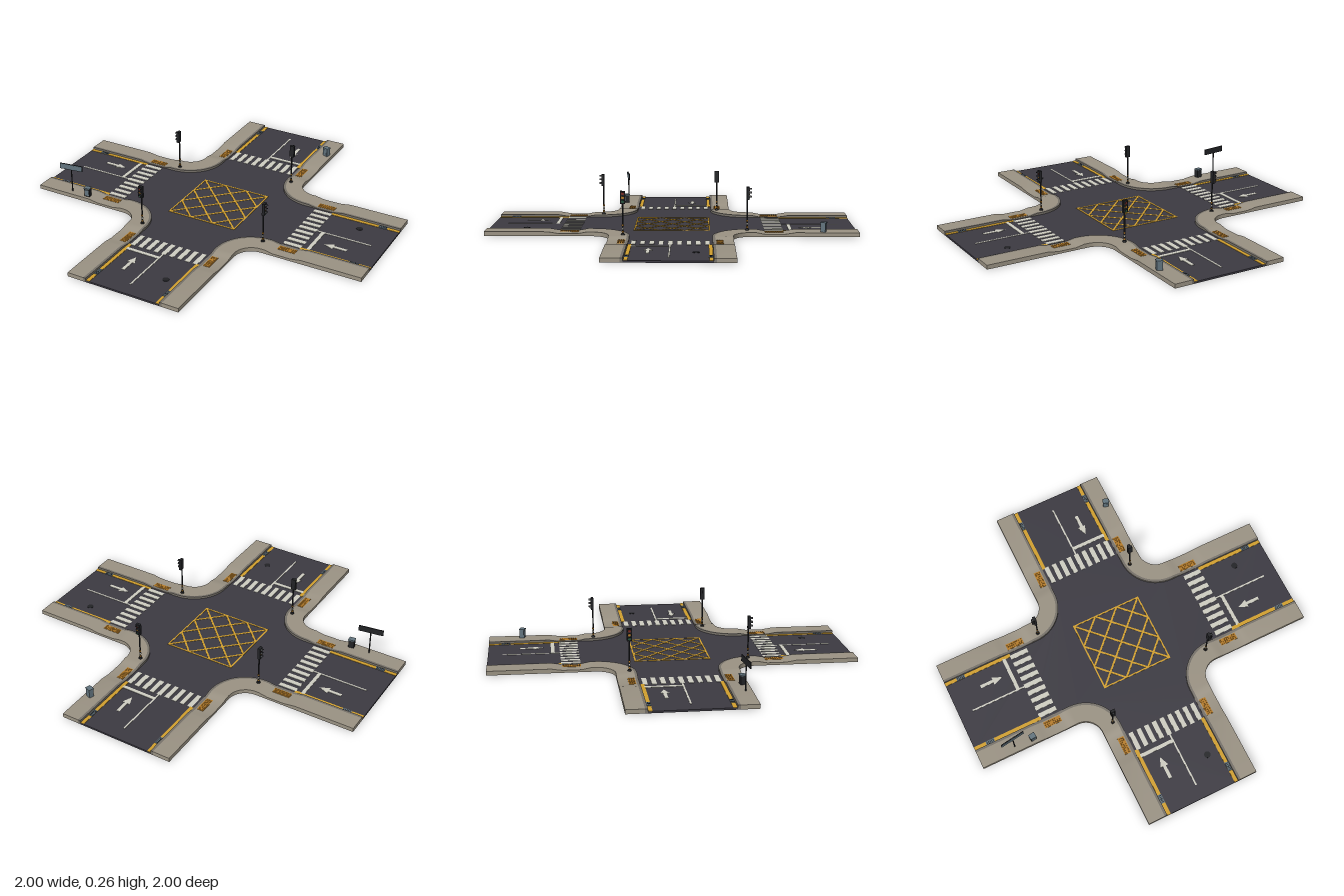
import * as THREE from 'three';
import { toCreasedNormals } from 'three/addons/utils/BufferGeometryUtils.js';

const mat = (name, color, extra = {}) => {
  const m = new THREE.MeshStandardMaterial({ color, ...extra });
  m.name = name;
  return m;
};

const ROAD_Y = 0.01, EDGE = 0.217, KERB = 0.231, OUTER = 0.327, BEND = 0.43;

export function createModel() {
  const asphalt = mat('asphalt', 0x3c3a42);
  const paving = mat('paving', 0x9b9384);
  const kerbStone = mat('kerbStone', 0x77726a);
  const white = mat('whitePaint', 0xcfcec2);
  const yellow = mat('yellowPaint', 0xd2a02e);
  const tactile = mat('tactileOrange', 0xb67c28);
  const black = mat('blackMetal', 0x222326, { side: THREE.DoubleSide });
  const slate = mat('slateMetal', 0x62747e);
  const red = mat('redLamp', 0x7a2a22);
  const green = mat('greenLamp', 0x24523c);

  const model = new THREE.Group();
  model.name = 'crossroads';

  const add = (parent, name, geo, material, x = 0, y = 0, z = 0) => {
    const m = new THREE.Mesh(geo, material);
    m.name = name;
    m.position.set(x, y, z);
    parent.add(m);
    return m;
  };
  const box = (parent, name, material, w, h, d, x, y, z) =>
    add(parent, name, new THREE.BoxGeometry(w, h, d), material, x, y, z);
  // thin painted plate lying on the road
  const paint = (parent, name, material, w, d, x, z, lift = 0.002) =>
    box(parent, name, material, w, lift, d, x, ROAD_Y + lift / 2, z);
  const group = (parent, name, x = 0, y = 0, z = 0, turn = 0) => {
    const g = new THREE.Group();
    g.name = name;
    g.position.set(x, y, z);
    g.rotation.y = turn;
    parent.add(g);
    return g;
  };

  // line at a constant offset from the road centre, round one corner
  const stations = [1, 0.66, 0.63, 0.6, 0.5, 0.475, 0.45];
  const cornerPath = (d) => {
    const pts = stations.map((s) => [d, s]);
    const r = BEND - d;
    for (let i = 0; i <= 14; i++) {
      const a = Math.PI + (i / 14) * Math.PI / 2;
      pts.push([BEND + r * Math.cos(a), BEND - r * Math.sin(a - Math.PI / 2 + Math.PI / 2) * -1]);
    }
    // the arc runs from (d, BEND) to (BEND, d)
    return pts.concat([...stations].reverse().map((s) => [s, d]));
  };
  // pavement height, dropped at the crossings
  const heights = { 1: 0.023, 0.66: 0.023, 0.63: 0.018, 0.6: 0.0135, 0.5: 0.0135, 0.475: 0.018, 0.45: 0.023 };
  const heightAt = (x, z) => heights[Math.max(x, z)] ?? 0.023;

  // rectangular strip swept round a corner
  const strip = (d0, d1) => {
    const a = cornerPath(d0), b = cornerPath(d1), pos = [];
    const rings = a.map(([x, z], i) => {
      const [u, w] = b[i];
      const h = heightAt(x, z);
      return [[x, 0, z], [x, h, z], [u, h, w], [u, 0, w]];
    });
    const quad = (p, q, r, s) => pos.push(...p, ...q, ...r, ...p, ...r, ...s);
    for (let i = 0; i < rings.length - 1; i++) {
      const p = rings[i], q = rings[i + 1];
      for (let k = 0; k < 4; k++) {
        const n = (k + 1) % 4;
        quad(p[k], p[n], q[n], q[k]);
      }
    }
    const first = rings[0], last = rings[rings.length - 1];
    quad(first[0], first[3], first[2], first[1]);
    quad(...last);
    const geo = new THREE.BufferGeometry();
    geo.setAttribute('position', new THREE.Float32BufferAttribute(pos, 3));
    geo.computeVertexNormals();
    return toCreasedNormals(geo, 0.4);
  };

  // road slab
  const outline = [];
  let quarter = cornerPath(EDGE);
  for (let i = 0; i < 4; i++) {
    outline.push(...quarter.map(([x, z]) => new THREE.Vector2(x, z)));
    quarter = quarter.map(([x, z]) => [z, -x]);
  }
  const slab = new THREE.ExtrudeGeometry(new THREE.Shape(outline), { depth: ROAD_Y, bevelEnabled: false });
  add(model, 'road', slab.rotateX(-Math.PI / 2), asphalt);

  // yellow box junction
  const junction = group(model, 'boxJunction');
  const B = 0.203;
  for (const s of [-1, 1]) {
    paint(junction, 'boxEdge', yellow, 2 * B + 0.008, 0.008, 0, s * B);
    paint(junction, 'boxEdge', yellow, 0.008, 2 * B + 0.008, s * B, 0);
    for (let k = -2; k <= 2; k++) {
      const c = k * B / 3;
      const len = (2 * B - Math.abs(2 * c)) * Math.SQRT2;
      const line = paint(junction, 'boxHatch', yellow, len, 0.01, c, -s * c, 0.0018);
      line.rotation.y = -s * Math.PI / 4;
    }
  }

  // lane arrow
  const arrowShape = new THREE.Shape([[-0.009, -0.065], [0.009, -0.065], [0.009, 0.01], [0.023, 0.01],
    [0, 0.065], [-0.023, 0.01], [-0.009, 0.01]].map(([x, y]) => new THREE.Vector2(x, y)));
  const arrowGeo = new THREE.ExtrudeGeometry(arrowShape, { depth: 0.002, bevelEnabled: false }).rotateX(-Math.PI / 2);
  const kerbGeo = strip(EDGE, KERB), paveGeo = strip(KERB, OUTER);
  const bumpGeo = new THREE.CylinderGeometry(0.0025, 0.0035, 0.002, 8);

  // traffic light facing +z
  const trafficLight = (parent, x, z) => {
    const g = group(parent, 'trafficLight', x, 0.022, z);
    add(g, 'poleFoot', new THREE.CylinderGeometry(0.009, 0.011, 0.008, 12), black, 0, 0.004, 0);
    add(g, 'pole', new THREE.CylinderGeometry(0.004, 0.004, 0.22, 12), black, 0, 0.11, 0);
    for (let i = 0; i < 3; i++)
      add(g, 'poleBand', new THREE.CylinderGeometry(0.0055, 0.0055, 0.008, 12), i % 2 ? white : tactile, 0, 0.018 + i * 0.017, 0);
    box(g, 'lampHousing', black, 0.026, 0.068, 0.015, 0, 0.2, 0.004);
    [green, tactile, red].forEach((m, i) => {
      const y = 0.179 + i * 0.021;
      add(g, 'lamp', new THREE.CylinderGeometry(0.008, 0.008, 0.002, 16).rotateX(Math.PI / 2), m, 0, y, 0.0122);
      add(g, 'lampVisor', new THREE.CylinderGeometry(0.009, 0.009, 0.012, 14, 1, true, Math.PI / 2, Math.PI)
        .rotateX(Math.PI / 2), black, 0, y, 0.017);
    });
  };

  // four matching arms and corners
  for (let i = 0; i < 4; i++) {
    const arm = group(model, 'arm', 0, 0, 0, i * Math.PI / 2);
    add(arm, 'kerb', kerbGeo, kerbStone);
    add(arm, 'pavement', paveGeo, paving);
    paint(arm, 'centreLine', white, 0.009, 0.32, 0, 0.76);
    paint(arm, 'stopLine', white, 0.2, 0.02, -0.1, 0.643);
    add(arm, 'laneArrow', arrowGeo, white, -0.107, ROAD_Y, 0.76);
    for (let k = -4; k <= 4; k++) paint(arm, 'crossingStripe', white, 0.026, 0.105, k * 0.0475, 0.552);
    for (const s of [-1, 1]) {
      paint(arm, 'edgeLine', yellow, 0.02, 0.4, s * 0.205, 0.8);
      paint(arm, 'drainGrate', slate, 0.02, 0.05, s * 0.205, 0.905, 0.004);
      for (let k = -2; k <= 2; k++)
        paint(arm, 'drainSlot', black, 0.014, 0.004, s * 0.205, 0.905 + k * 0.009, 0.0046);
      box(arm, 'tactilePad', tactile, 0.037, 0.002, 0.1, s * 0.254, 0.0143, 0.55);
      for (let r = 0; r < 8; r++) for (let c = -1; c <= 1; c++)
        add(arm, 'tactileBump', bumpGeo, tactile, s * 0.254 + c * 0.011, 0.016, 0.508 + r * 0.012);
    }
    trafficLight(arm, -0.253, 0.405);
  }

  // manhole covers
  for (const [x, z] of [[0.797, -0.133], [0.133, 0.797]])
    add(model, 'manholeCover', new THREE.CylinderGeometry(0.018, 0.018, 0.002, 20), black, x, ROAD_Y + 0.0005, z);

  // street sign, left blank
  const sign = group(model, 'streetSign', -0.795, 0.022, 0.292, 0.14);
  add(sign, 'signPost', new THREE.CylinderGeometry(0.0035, 0.0035, 0.14, 10), black, 0, 0.07, 0);
  box(sign, 'signBack', black, 0.14, 0.034, 0.005, 0, 0.153, 0);
  box(sign, 'signFace', slate, 0.136, 0.03, 0.002, 0, 0.153, 0.003);

  // street cabinets
  const cabinet = (x, z, turn, body) => {
    const g = group(model, 'streetCabinet', x, 0.022, z, turn);
    box(g, 'cabinetBody', body, 0.032, 0.047, 0.026, 0, 0.0235, 0);
    box(g, 'cabinetLid', slate, 0.036, 0.006, 0.03, 0, 0.05, 0);
    box(g, 'cabinetDoor', slate, 0.024, 0.034, 0.002, 0, 0.024, 0.0135);
  };
  cabinet(-0.687, 0.295, 0.14, black);
  cabinet(0.295, -0.81, -0.35, slate);

  return model;
}
